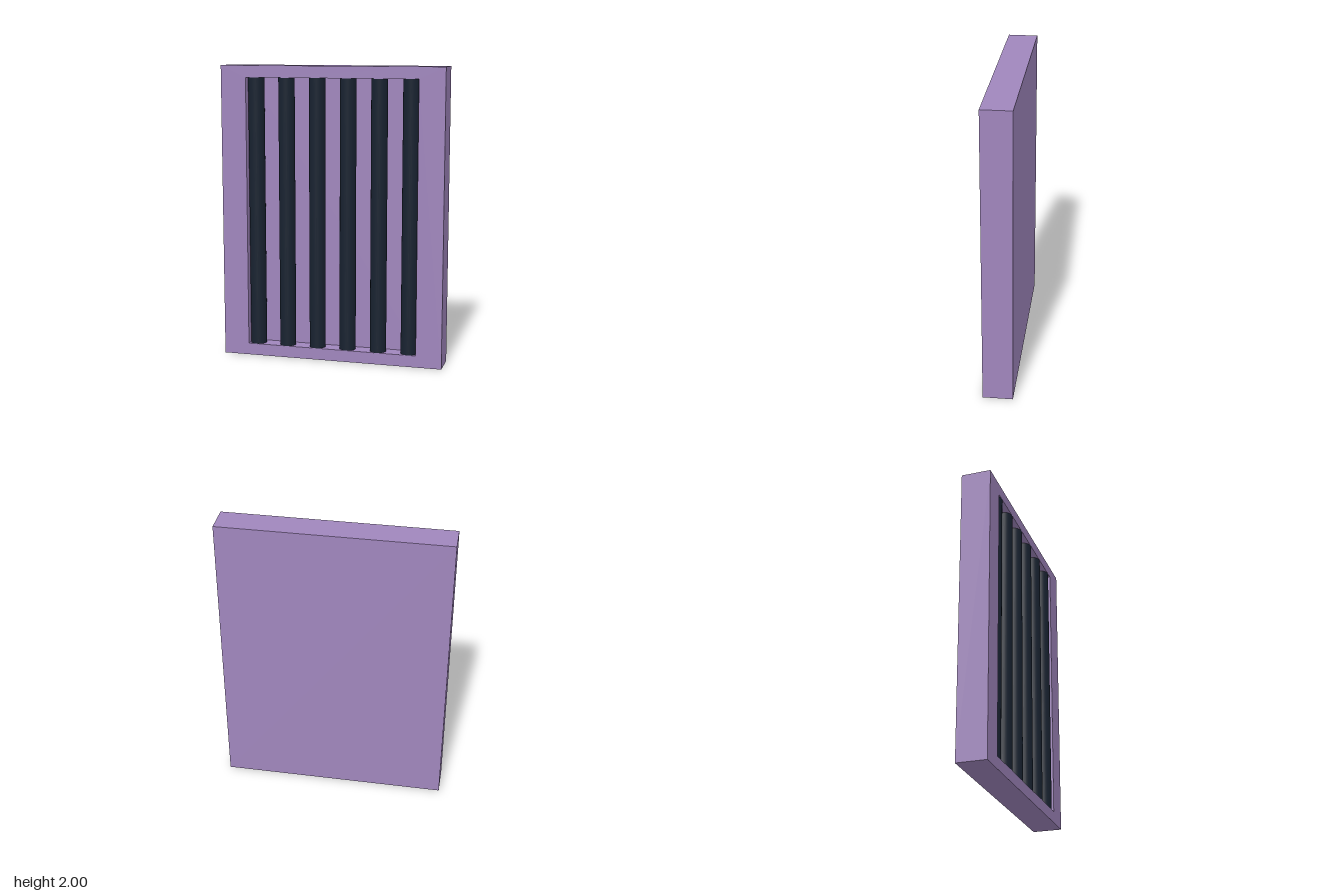
import * as THREE from 'three';

const W = 1.53, H = 2, D = 0.2;              // outer panel
const PW = 1.18, PH = 1.84, PD = 0.11;       // recessed pocket
const BARS = 6, PITCH = 0.213, R = 0.055;    // upright bars

// Box without its +z face, its open rim lying at the panel's front plane
function openBox(w, h, d) {
  const geo = new THREE.BoxGeometry(w, h, d);
  const index = Array.from(geo.index.array);
  index.splice(24, 6);
  geo.setIndex(index);
  geo.clearGroups();
  geo.translate(0, H / 2, D / 2 - d / 2);
  return geo;
}

function rect(path, w, h) {
  path.moveTo(-w / 2, -h / 2);
  path.lineTo(w / 2, -h / 2);
  path.lineTo(w / 2, h / 2);
  path.lineTo(-w / 2, h / 2);
  path.closePath();
  return path;
}

export function createModel() {
  const model = new THREE.Group();
  model.name = 'barredPanel';
  const purple = new THREE.MeshStandardMaterial({ color: 0xa086bd });
  const purpleInside = new THREE.MeshStandardMaterial({ color: 0xa086bd, side: THREE.BackSide });
  const dark = new THREE.MeshStandardMaterial({ color: 0x182230 });

  const add = (name, geo, mat) => {
    const mesh = new THREE.Mesh(geo, mat);
    mesh.name = name;
    model.add(mesh);
    return mesh;
  };

  // Outer sides and back
  add('panelBody', openBox(W, H, D), purple);

  // Front border around the pocket
  const border = rect(new THREE.Shape(), W, H);
  border.holes.push(rect(new THREE.Path(), PW, PH));
  add('frontBorder', new THREE.ShapeGeometry(border).translate(0, H / 2, D / 2), purple);

  // Pocket walls and floor, seen from inside
  add('pocket', openBox(PW, PH, PD), purpleInside);

  // Row of round bars, flush with the front
  const barGeo = new THREE.CylinderGeometry(R, R, PH, 32);
  for (let i = 0; i < BARS; i++) {
    const bar = add('bar' + (i + 1), barGeo, dark);
    bar.position.set((i - (BARS - 1) / 2) * PITCH, H / 2, D / 2 - R);
  }
  return model;
}
